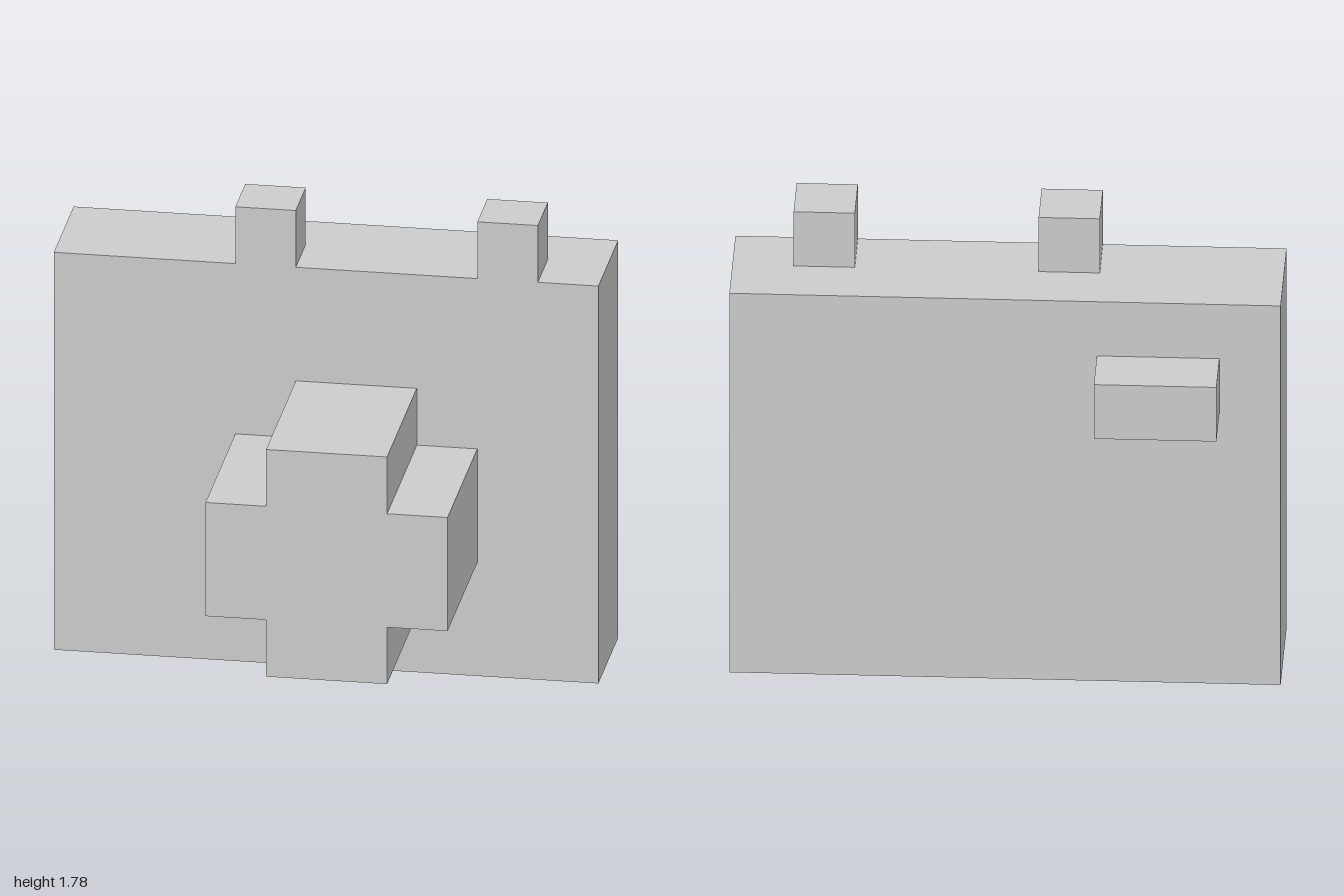
import * as THREE from 'three';

const U = 2 / 9; // one block of the model's grid

export function createModel() {
  const model = new THREE.Group();
  model.name = 'blockCamera';
  const material = new THREE.MeshStandardMaterial({ color: 0xcccccc, flatShading: true });

  const add = (name, geometry, x, y, z) => {
    const mesh = new THREE.Mesh(geometry, material);
    mesh.name = name;
    mesh.position.set(x * U, y * U, z * U);
    model.add(mesh);
  };
  // Box sized and placed (by its centre) in grid blocks
  const addBox = (name, [w, h, d], [x, y, z]) =>
    add(name, new THREE.BoxGeometry(w * U, h * U, d * U), x, y, z);

  // Camera body
  addBox('body', [9, 7, 2], [0, 3.5, -1]);

  // Two buttons on top, flush with the front
  addBox('rightButton', [1, 1, 1], [-1, 7.5, -0.5]);
  addBox('leftButton', [1, 1, 1], [3, 7.5, -0.5]);

  // Viewfinder on the back
  addBox('viewfinder', [2, 1, 1], [-2.5, 5.5, -2.5]);

  // Lens: a plus-shaped barrel, one arm turned through four quarters
  const outline = [];
  for (let i = 0; i < 4; i++) {
    for (const [x, y] of [[2, -1], [2, 1], [1, 1]]) {
      outline.push(new THREE.Vector2(x * U, y * U).rotateAround(new THREE.Vector2(), i * Math.PI / 2));
    }
  }
  const lens = new THREE.ExtrudeGeometry(new THREE.Shape(outline), { depth: 3 * U, bevelEnabled: false });
  add('lens', lens, 0.5, 3, 0);

  return model;
}
